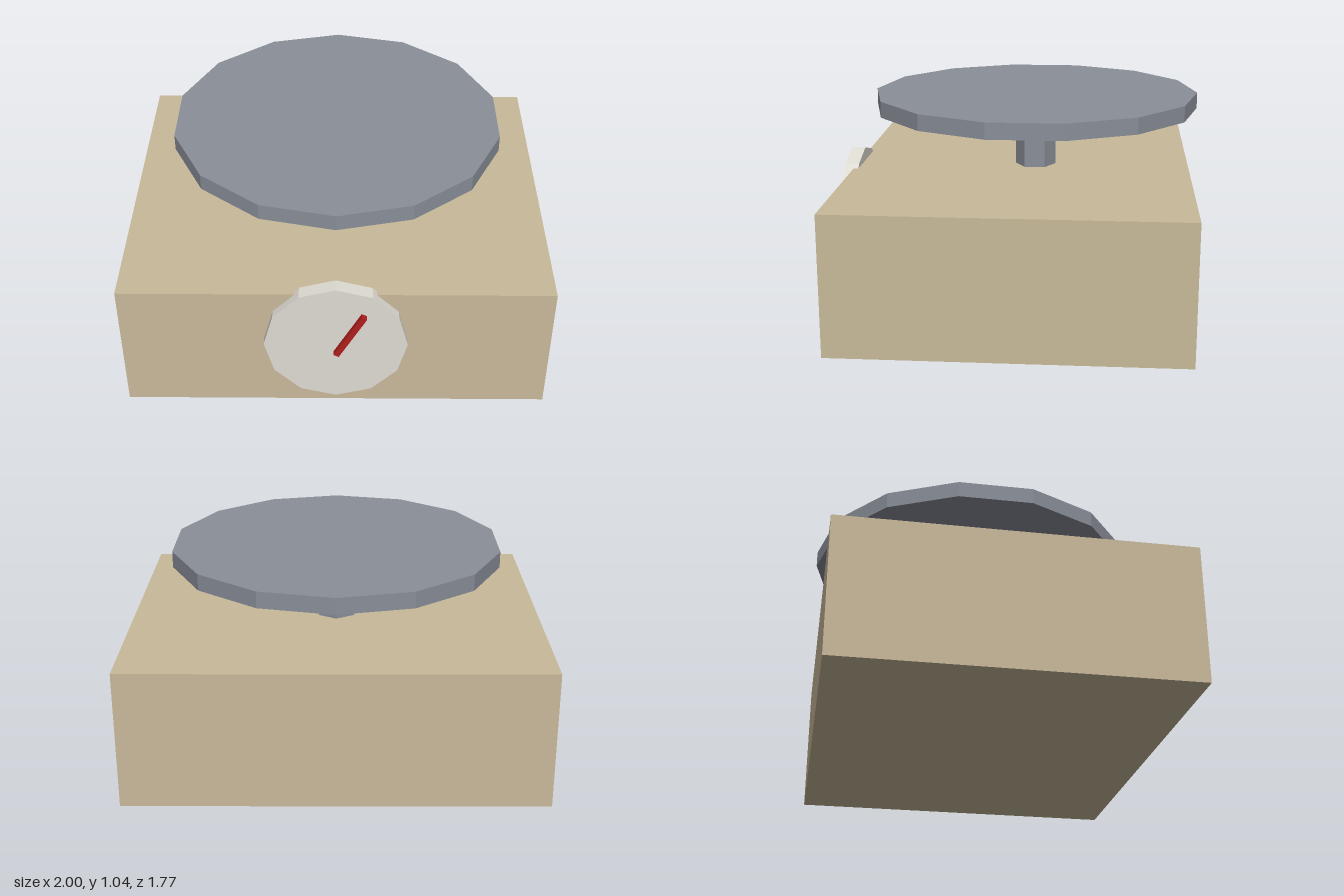
import * as THREE from 'three';

export function createModel() {
  const model = new THREE.Group();

  const add = (name, geometry, color, x, y, z) => {
    const mesh = new THREE.Mesh(geometry, new THREE.MeshStandardMaterial({ color, flatShading: true }));
    mesh.name = name;
    mesh.position.set(x, y, z);
    model.add(mesh);
    return mesh;
  };

  const steel = 0x8a8f99;
  const panZ = -0.083;

  // Housing
  add('housing', new THREE.BoxGeometry(2, 0.67, 1.665), 0xc8b99a, 0, 0.335, -0.0175);

  // Hexagonal post carrying the weighing pan
  add('post', new THREE.CylinderGeometry(0.1, 0.1, 0.33, 6), steel, 0, 0.815, panZ);
  add('weighingPan', new THREE.CylinderGeometry(0.8, 0.8, 0.078, 14), steel, 0, 1.004, panZ);

  // Dial disc, turned to face the front, slightly proud of the housing
  const dial = add('dial', new THREE.CylinderGeometry(0.333, 0.333, 0.068, 12), 0xdedbd2, 0, 0.402, 0.824);
  dial.rotation.x = Math.PI / 2;

  // Needle, leaning to the model's left
  const needle = add('needle', new THREE.BoxGeometry(0.027, 0.266, 0.03), 0xb01e1e, 0.066, 0.47, 0.869);
  needle.rotation.z = -0.5;

  return model;
}
